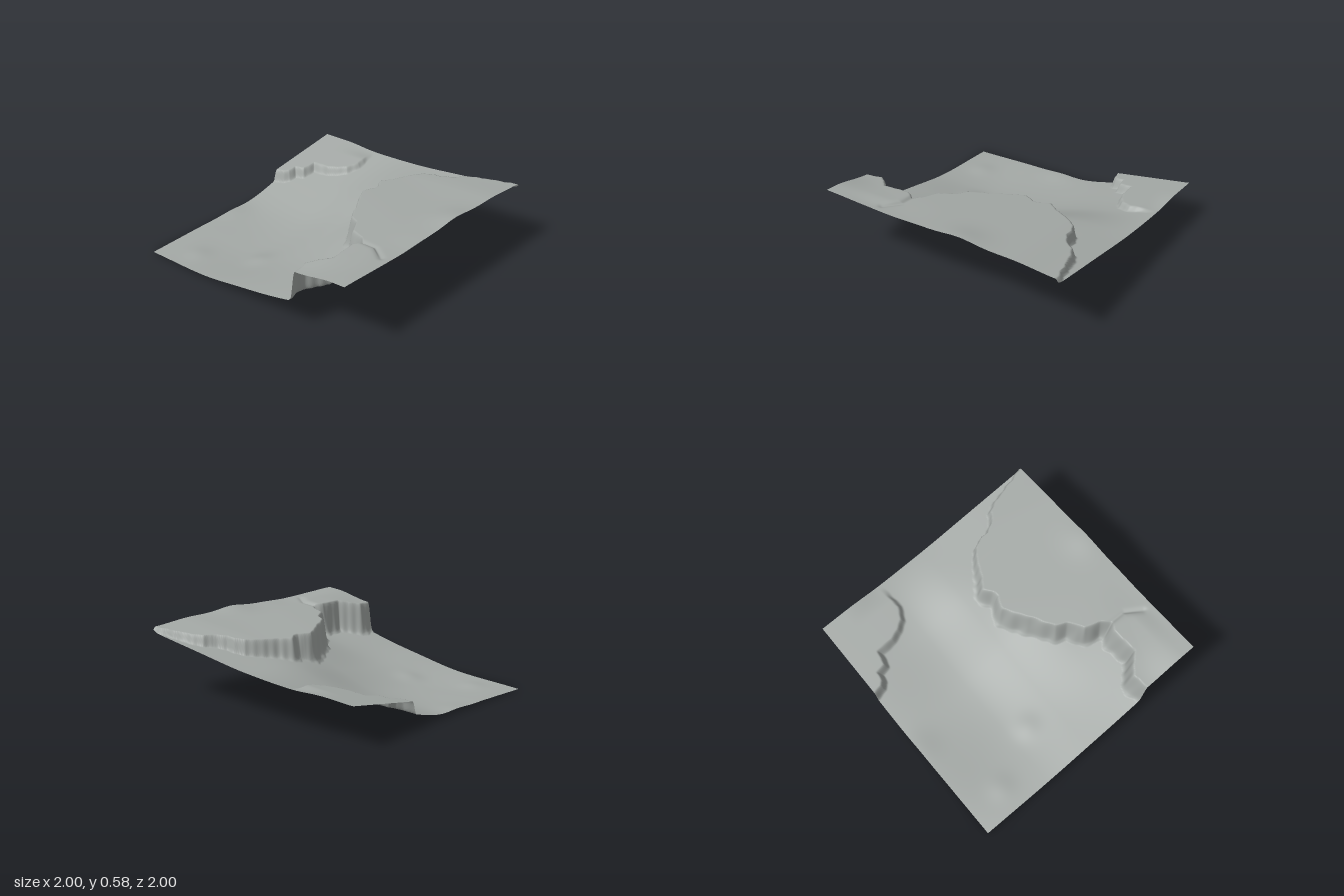
import * as THREE from 'three';

const { smoothstep, lerp, clamp } = THREE.MathUtils;

// Lowland heights: rows run back to front, columns run from -x to +x
const COLS = [-1, -0.5, 0, 0.5, 1];
const ROWS = [-1, -0.4, 0, 0.4, 1];
const LOW = [
  [0, 0.015, 0.026, 0.15, 0.31],
  [0.045, 0.022, 0.06, 0.2, 0.32],
  [0.12, 0.115, 0.185, 0.31, 0.355],
  [0.212, 0.228, 0.33, 0.38, 0.41],
  [0.38, 0.38, 0.45, 0.46, 0.5],
];

// Rims of the two cliffs as x, z points
const FRONT_RIM = [
  [-1.1, 0.56], [-0.97, 0.55], [-0.87, 0.54], [-0.8, 0.59], [-0.73, 0.66], [-0.62, 0.66],
  [-0.52, 0.65], [-0.45, 0.69], [-0.39, 0.62], [-0.35, 0.5], [-0.29, 0.47], [-0.23, 0.43],
  [-0.19, 0.35], [-0.1, 0.3], [-0.02, 0.26], [0.1, 0.18], [0.18, 0.13], [0.24, 0.15],
  [0.28, 0.18], [0.33, 0.17], [0.4, 0.13], [0.48, 0.18], [0.55, 0.21], [0.62, 0.25],
  [0.7, 0.31], [0.735, 0.38], [0.74, 0.45], [0.8, 0.55], [0.855, 0.59], [0.9, 0.68],
  [0.92, 0.75], [0.95, 0.82], [0.96, 0.9], [0.98, 0.95], [0.985, 1.05],
];
const BACK_RIM = [
  [-1.1, -1.6], [0.34, -1.06], [0.37, -0.92], [0.4, -0.885], [0.47, -0.88], [0.49, -0.8],
  [0.59, -0.77], [0.6, -0.63], [0.63, -0.55], [0.68, -0.48], [0.77, -0.43], [0.83, -0.43],
  [0.88, -0.44], [1.1, -0.47],
];
const CRACK = [[-0.45, 0.66], [-0.46, 0.8], [-0.54, 0.92]];

// Smooth curve through a row of values
function spline(keys, values, t) {
  const n = keys.length - 1;
  let i = 0;
  while (i < n - 1 && t > keys[i + 1]) i++;
  const slope = (k) => {
    const a = Math.max(k - 1, 0), b = Math.min(k + 1, n);
    return (values[b] - values[a]) / (keys[b] - keys[a]);
  };
  const h = keys[i + 1] - keys[i], s = (t - keys[i]) / h, s2 = s * s, s3 = s2 * s;
  return values[i] * (2 * s3 - 3 * s2 + 1) + values[i + 1] * (3 * s2 - 2 * s3)
    + h * (slope(i) * (s3 - 2 * s2 + s) + slope(i + 1) * (s3 - s2));
}

// Distance from a point to a polyline
function distance(line, x, z) {
  let best = Infinity;
  for (let i = 0; i < line.length - 1; i++) {
    const [ax, az] = line[i], [bx, bz] = line[i + 1];
    const dx = bx - ax, dz = bz - az;
    const t = clamp(((x - ax) * dx + (z - az) * dz) / (dx * dx + dz * dz), 0, 1);
    best = Math.min(best, Math.hypot(x - ax - t * dx, z - az - t * dz));
  }
  return best;
}

// Distance that is positive on the front side of the rim, negative behind it
function signedDistance(line, x, z) {
  let i = 0;
  while (i < line.length - 2 && x > line[i + 1][0]) i++;
  const [ax, az] = line[i], [bx, bz] = line[i + 1];
  const rimZ = lerp(az, bz, Math.min(1, (x - ax) / (bx - ax)));
  return Math.sign(z - rimZ) * distance(line, x, z);
}

const mound = (x, z, cx, cz, r, h) => h * Math.exp(-((x - cx) ** 2 + (z - cz) ** 2) / (r * r));

function lowland(x, z) {
  return spline(ROWS, LOW.map((row) => spline(COLS, row, x)), z)
    + mound(x, z, -0.8, -0.7, 0.1, 0.01)
    + mound(x, z, -0.57, -0.25, 0.1, 0.013)
    + mound(x, z, -0.17, -1, 0.15, 0.016)
    + 0.002 * Math.sin(5 * x + 2 * z) * Math.cos(6 * z - x);
}

// Front plateau, with a short crack whose -x side is a raised lip
function plateau(x, z) {
  const d = distance(CRACK, x, z);
  const crackX = z < 0.8 ? -0.455 : -0.46 - (z - 0.8) * 0.67;
  const left = 1 - smoothstep(x, crackX - 0.02, crackX + 0.01);
  const lip = 0.014 * left * Math.exp(-((d / 0.25) ** 2)) * (1 - smoothstep(z, 0.82, 0.97));
  const sag = 0.03 * (1 - smoothstep(x, -1, -0.65)) * (1 - smoothstep(z, 0.55, 0.9));
  return 0.472 + 0.088 * z + lip - sag
    - 0.01 * Math.exp(-((d / 0.025) ** 2))
    + mound(x, z, -1, 1, 0.3, 0.01)
    + mound(x, z, -0.38, 0.95, 0.18, -0.008)
    + mound(x, z, 0.2, 1, 0.17, 0.025)
    - 0.02 * smoothstep(x, 0.6, 1)
    + 0.002 * Math.sin(7 * x + 3 * z);
}

function height(x, z) {
  const low = lowland(x, z);
  const crag = 0.006 * Math.sin(17 * x + 8 * z) + 0.004 * Math.sin(41 * x - 29 * z + 2)
    + 0.003 * Math.sin(67 * x + 53 * z);

  // Front cliff: steep upper face over a flared foot, narrower along the +x side
  const width = lerp(0.07, 0.03, smoothstep(x, 0.45, 0.75)) + crag;
  const front = signedDistance(FRONT_RIM, x, z) + 0.4 * crag;
  const rise = clamp((front + width) / width, 0, 1);
  const face = 0.25 * rise + 0.75 * smoothstep(rise, 0.25, 0.95);
  const y = lerp(low, plateau(x, z), face);

  // Back corner shelf, fading out towards the +x edge
  const back = signedDistance(BACK_RIM, x, z);
  const shelf = 0.2 + 0.17 * (x - 0.36) + 0.06 * (z + 1);
  const step = smoothstep(crag * 0.5 - back, -0.03, 0.012);
  const fade = 1 - smoothstep(x, 0.82, 1) * smoothstep(z, -0.8, -0.45);
  return Math.max(0, lerp(y, Math.max(y, shelf), step * fade));
}

export function createModel() {
  const group = new THREE.Group();
  group.name = 'terrain';

  // One continuous ground sheet
  const geometry = new THREE.PlaneGeometry(2, 2, 260, 260).rotateX(-Math.PI / 2);
  const p = geometry.attributes.position;
  for (let i = 0; i < p.count; i++) p.setY(i, height(p.getX(i), p.getZ(i)));
  geometry.computeVertexNormals();

  const ground = new THREE.Mesh(
    geometry,
    new THREE.MeshStandardMaterial({ color: 0xa4a9a6, side: THREE.DoubleSide }),
  );
  ground.name = 'groundWithCliffs';
  group.add(ground);
  return group;
}
